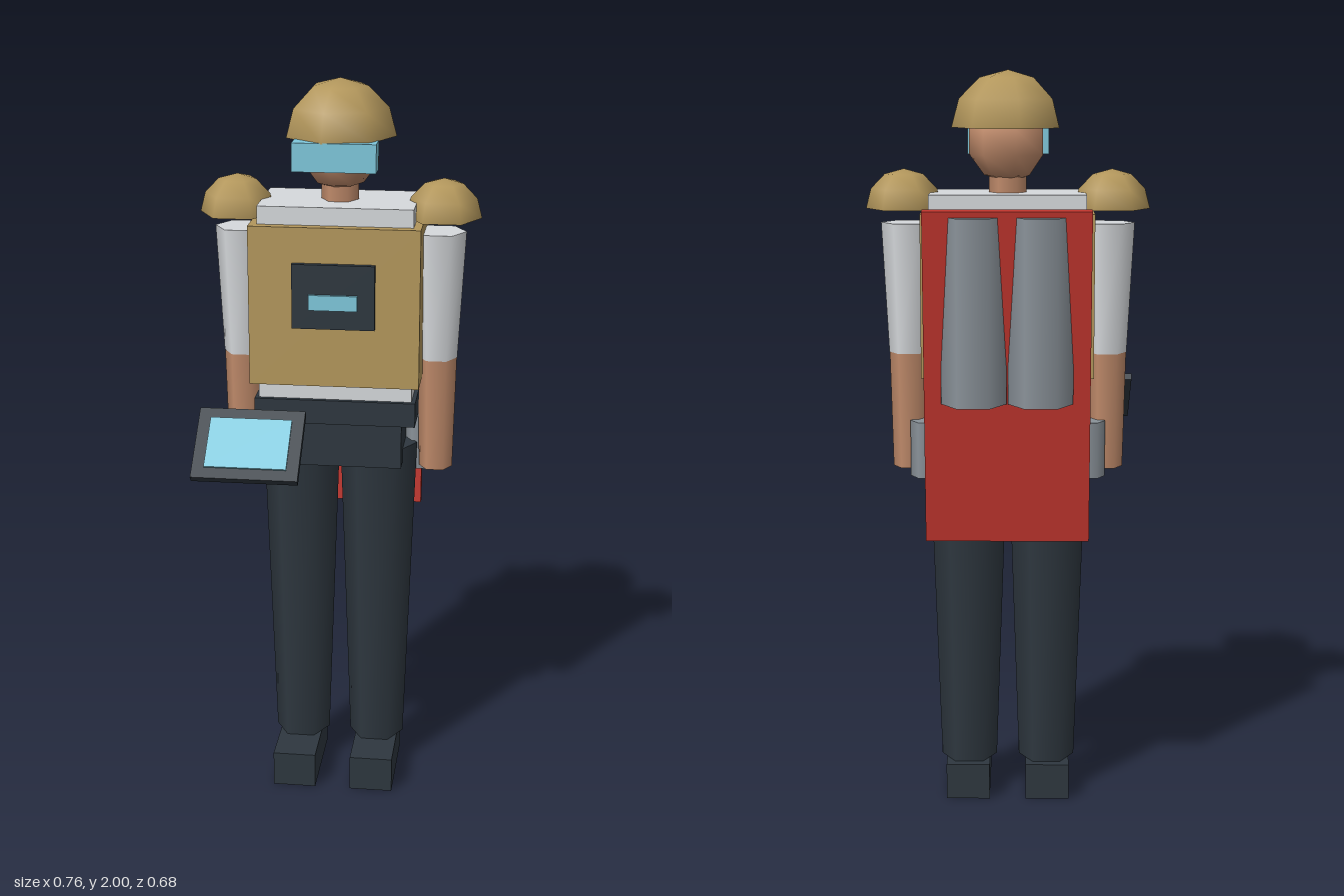
import * as THREE from 'three';

const mat = (name, color) => {
  const m = new THREE.MeshStandardMaterial({ color });
  m.name = name;
  return m;
};

export function createModel() {
  const tan = mat('tan armour', 0xb3975c);
  const dark = mat('dark cloth', 0x2e373f);
  const shirt = mat('pale shirt', 0xd6d9dc);
  const skin = mat('skin', 0xbf8a6a);
  const cyan = mat('cyan glass', 0x7fc8dc);
  const red = mat('red board', 0xc0352d);
  const steel = mat('grey metal', 0x8a9299);

  const model = new THREE.Group();
  model.name = 'armouredFigure';
  const bodyZ = -0.05;

  const add = (name, geometry, material, x, y, z, parent = model) => {
    const mesh = new THREE.Mesh(geometry, material);
    mesh.name = name;
    mesh.position.set(x, y, z);
    parent.add(mesh);
    return mesh;
  };

  // Box given by its low and high limits on each axis
  const box = (name, material, [x0, x1], [y0, y1], [z0, z1]) =>
    add(name, new THREE.BoxGeometry(x1 - x0, y1 - y0, z1 - z0), material,
      (x0 + x1) / 2, (y0 + y1) / 2, (z0 + z1) / 2);

  // Smooth six-sided tapered tube with corners on the x axis
  const tube = (name, material, rTop, rBottom, y0, y1, x, z) =>
    add(name, new THREE.CylinderGeometry(rTop, rBottom, y1 - y0, 6).rotateY(Math.PI / 2),
      material, x, (y0 + y1) / 2, z);

  // Closed half sphere
  const dome = (name, sides, r, x, y, z) => {
    const group = new THREE.Group();
    group.name = name;
    group.position.set(x, y, z);
    add(name + 'Shell', new THREE.SphereGeometry(r, sides, 3, 0, Math.PI * 2, 0, Math.PI / 2)
      .rotateY(Math.PI), tan, 0, 0, 0, group);
    add(name + 'Underside', new THREE.CircleGeometry(r, sides).rotateX(Math.PI / 2),
      tan, 0, 0, 0, group);
    model.add(group);
    return group;
  };

  // Head
  add('head', new THREE.SphereGeometry(0.108, 7, 5).rotateY(Math.PI), skin, 0, 1.813, bodyZ);
  tube('neck', skin, 0.05, 0.05, 1.62, 1.75, 0, bodyZ);
  dome('helmet', 7, 0.15, 0, 1.85, bodyZ);
  box('visor', cyan, [-0.11, 0.11], [1.777, 1.852], [0.03, 0.095]);

  // Torso
  box('shirt', shirt, [-0.207, 0.207], [1.15, 1.68], [-0.17, 0.07]);
  box('vest', tan, [-0.228, 0.228], [1.2, 1.632], [-0.196, 0.097]);
  box('belt', dark, [-0.218, 0.218], [1.088, 1.155], [-0.177, 0.083]);
  box('hips', dark, [-0.18, 0.18], [0.96, 1.088], [-0.155, 0.06]);
  box('chestPanel', dark, [-0.11, 0.11], [1.363, 1.537], [0.097, 0.113]);
  box('chestDisplay', cyan, [-0.065, 0.065], [1.416, 1.457], [0.113, 0.122]);

  // Limbs, shoulder pads, hip canisters and back tanks on both sides
  for (const [side, s] of [['left', 1], ['right', -1]]) {
    tube(side + 'Sleeve', shirt, 0.072, 0.054, 1.25, 1.6, s * 0.267, bodyZ);
    tube(side + 'Forearm', skin, 0.053, 0.046, 0.935, 1.25, s * 0.267, bodyZ);
    dome(side + 'ShoulderPad', 6, 0.105, s * 0.277, 1.637, bodyZ).scale.set(0.97, 1, 1.02);
    tube(side + 'Leg', dark, 0.107, 0.077, 0.1, 1.0, s * 0.108, bodyZ);
    box(side + 'Boot', dark, [s * 0.11 - 0.06, s * 0.11 + 0.06], [0, 0.1], [-0.142, 0.134]);
    tube(side + 'Canister', steel, 0.043, 0.043, 0.917, 1.07, s * 0.22, -0.1);
    tube(side + 'BackTank', steel, 0.085, 0.085, 1.145, 1.632, s * 0.087, -0.268);
  }

  // Leaning board behind the body
  add('backBoard', new THREE.BoxGeometry(0.435, 0.888, 0.031), red, 0, 1.207, -0.249)
    .rotation.x = -0.1;

  // Tilted tablet in front of the right hand
  const tablet = new THREE.Group();
  tablet.name = 'tablet';
  tablet.position.set(-0.207, 1.077, 0.25);
  tablet.rotation.x = 0.69;
  add('tabletBody', new THREE.BoxGeometry(0.283, 0.02, 0.215), dark, 0, 0, 0, tablet);
  add('tabletScreen', new THREE.BoxGeometry(0.218, 0.006, 0.152), cyan, 0, 0.012, 0, tablet);
  model.add(tablet);

  return model;
}
